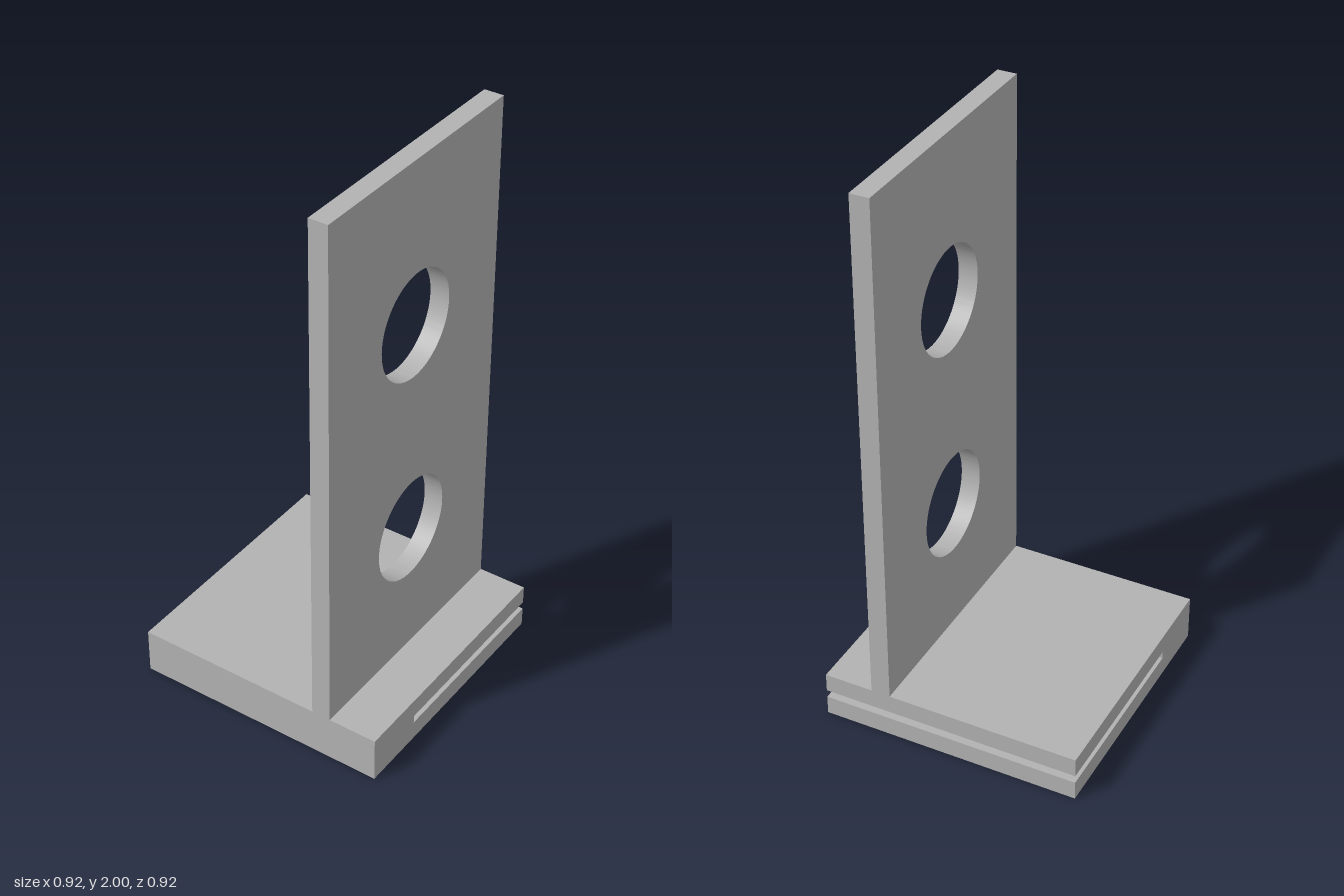
import * as THREE from 'three';
import { toCreasedNormals } from 'three/addons/utils/BufferGeometryUtils.js';

const HALF = 0.458;          // half the width and depth of the base
const BASE_TOP = 0.163;
const PLATE_X = 0.25, PLATE_THICKNESS = 0.068;
const HOLE_RADIUS = 0.185, HOLE_HEIGHTS = [0.647, 1.425];

// Extrude a (z, y) outline along x, centred on centreX
function extrudeAlongX(shape, width, centreX) {
  const geometry = new THREE.ExtrudeGeometry(shape, { depth: width, bevelEnabled: false, curveSegments: 64 });
  geometry.rotateY(-Math.PI / 2);
  geometry.translate(centreX + width / 2, 0, 0);
  return toCreasedNormals(geometry, Math.PI / 6);
}

function outline(points) {
  return new THREE.Shape(points.map(([z, y]) => new THREE.Vector2(z, y)));
}

export function createModel() {
  const group = new THREE.Group();
  group.name = 'slottedBracket';
  const grey = new THREE.MeshStandardMaterial({ color: 0xb2b2b2 });
  grey.name = 'grey';

  // Square base with a thin slot open at the back
  const baseShape = outline([
    [-HALF, 0], [HALF, 0], [HALF, BASE_TOP], [-HALF, BASE_TOP],
    [-HALF, 0.096], [0.23, 0.096], [0.23, 0.068], [-HALF, 0.068],
  ]);
  const base = new THREE.Mesh(extrudeAlongX(baseShape, HALF * 2, 0), grey);
  base.name = 'slottedBase';
  group.add(base);

  // Upright plate with two round through holes
  const plateShape = outline([[-HALF, BASE_TOP], [HALF, BASE_TOP], [HALF, 2], [-HALF, 2]]);
  for (const y of HOLE_HEIGHTS) {
    plateShape.holes.push(new THREE.Path().absarc(0, y, HOLE_RADIUS, 0, Math.PI * 2, true));
  }
  const plate = new THREE.Mesh(extrudeAlongX(plateShape, PLATE_THICKNESS, PLATE_X), grey);
  plate.name = 'uprightPlate';
  group.add(plate);

  return group;
}
